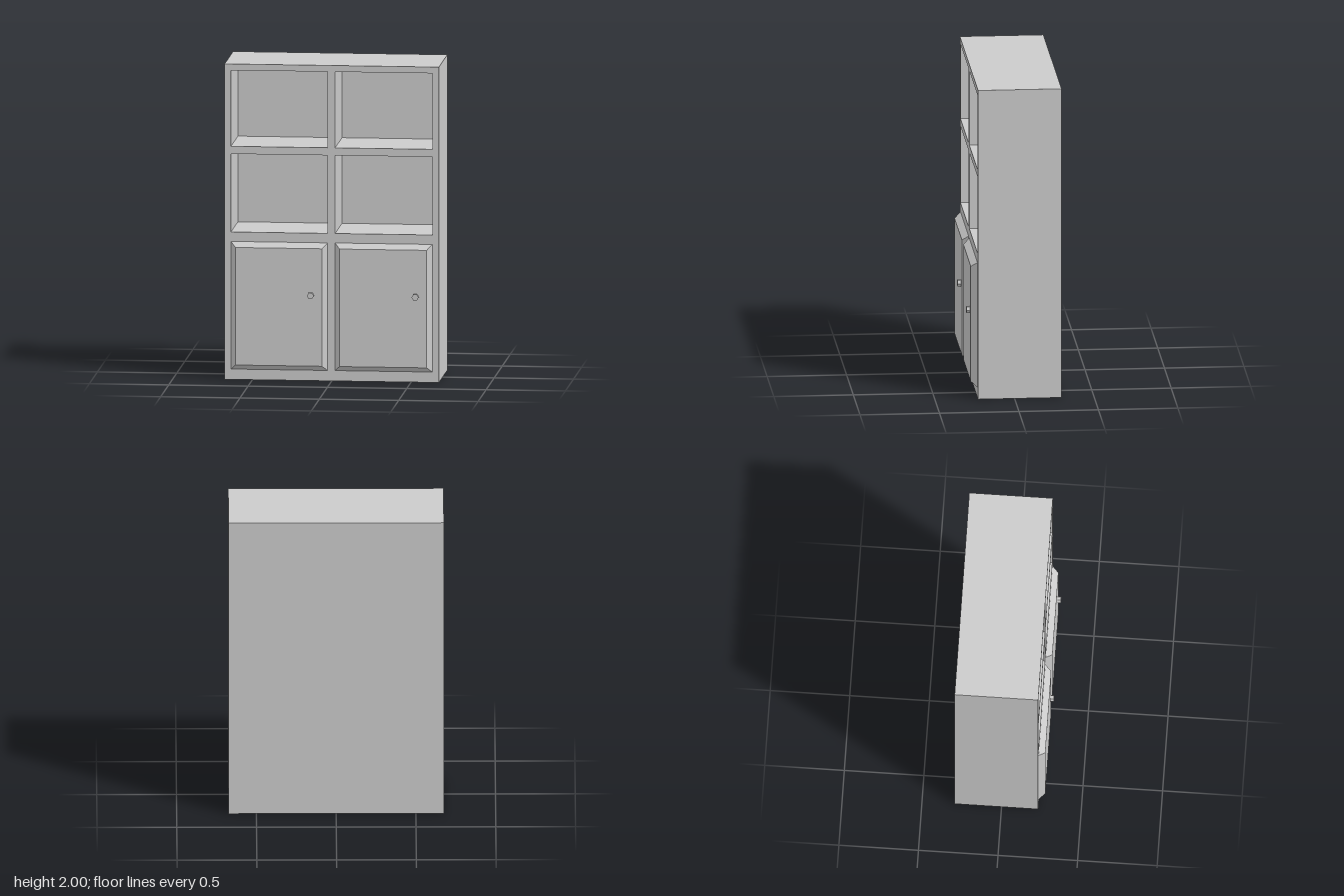
import * as THREE from 'three';

const material = new THREE.MeshStandardMaterial({ color: 0xcccccc, flatShading: true });

const FRONT = 0.23, BACK = -0.295, CUBBY_BACK = -0.2, DOOR_FRONT = 0.27;
const WIDTH = 1.35, HEIGHT = 2;
const columns = [[-0.635, -0.026], [0.021, 0.634]];
const rows = [[0.935, 1.43], [1.478, 1.96]];

function part(name, geometry, x = 0, y = 0, z = 0) {
  const mesh = new THREE.Mesh(geometry, material);
  mesh.name = name;
  mesh.position.set(x, y, z);
  return mesh;
}

function rectangle(path, x0, y0, x1, y1) {
  path.moveTo(x0, y0);
  path.lineTo(x1, y0);
  path.lineTo(x1, y1);
  path.lineTo(x0, y1);
  path.closePath();
  return path;
}

// Raised panel: a box whose front face is drawn inward
function doorGeometry(w, h, d, inset) {
  const geometry = new THREE.BoxGeometry(w, h, d);
  const p = geometry.attributes.position;
  for (let i = 0; i < p.count; i++) {
    if (p.getZ(i) > 0) {
      p.setX(i, p.getX(i) - Math.sign(p.getX(i)) * inset);
      p.setY(i, p.getY(i) - Math.sign(p.getY(i)) * inset);
    }
  }
  geometry.computeVertexNormals();
  return geometry;
}

export function createModel() {
  const model = new THREE.Group();
  model.name = 'cabinet';

  // Carcass with four open cubbies
  const outline = rectangle(new THREE.Shape(), -WIDTH / 2, 0, WIDTH / 2, HEIGHT);
  for (const [x0, x1] of columns)
    for (const [y0, y1] of rows)
      outline.holes.push(rectangle(new THREE.Path(), x0, y0, x1, y1));
  const carcass = new THREE.ExtrudeGeometry(outline, { depth: FRONT - CUBBY_BACK, bevelEnabled: false });
  model.add(part('carcass', carcass, 0, 0, CUBBY_BACK));

  // Solid back closing the cubbies
  const backDepth = CUBBY_BACK - BACK;
  model.add(part('backPanel', new THREE.BoxGeometry(WIDTH, HEIGHT, backDepth), 0, HEIGHT / 2, BACK + backDepth / 2));

  // Bevelled doors, each with a hexagonal knob
  const doorBottom = 0.066, doorTop = 0.875;
  columns.forEach(([x0, x1], i) => {
    const door = new THREE.Group();
    door.name = i === 0 ? 'rightDoor' : 'leftDoor';
    const depth = DOOR_FRONT - FRONT;
    door.add(part('doorPanel', doorGeometry(x1 - x0, doorTop - doorBottom, depth, 0.032),
      (x0 + x1) / 2, (doorBottom + doorTop) / 2, FRONT + depth / 2));
    const knob = new THREE.CylinderGeometry(0.022, 0.022, 0.025, 6).rotateY(Math.PI / 2).rotateX(Math.PI / 2);
    door.add(part('knob', knob, x1 - 0.103, 0.546, DOOR_FRONT + 0.0095));
    model.add(door);
  });

  return model;
}
